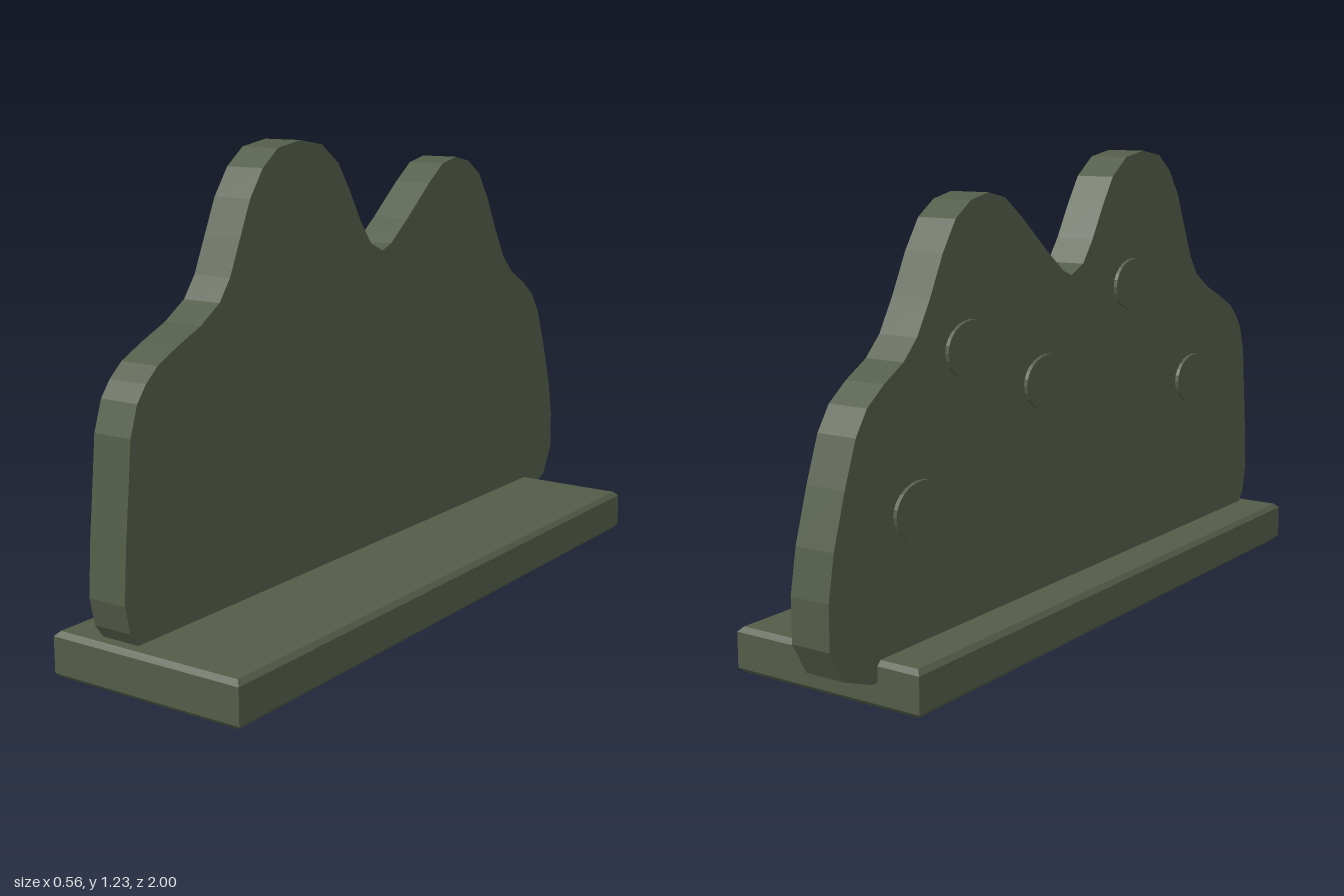
import * as THREE from 'three';

const green = new THREE.MeshStandardMaterial({ color: 0x535c48, flatShading: true });
green.name = 'olive green';

// Extrudes a shape drawn as (-z, y) along x, starting at x = x0
function sidePlate(name, shape, x0, depth, curveSegments) {
  const geo = new THREE.ExtrudeGeometry(shape, { depth, bevelEnabled: false, curveSegments });
  geo.rotateY(Math.PI / 2).translate(x0, 0, 0);
  const mesh = new THREE.Mesh(geo, green);
  mesh.name = name;
  return mesh;
}

// Rectangular slab with every edge chamfered
function chamferedSlab(name, x0, x1, height, z0, z1, c) {
  const w = (x1 - x0) / 2 - c, d = (z1 - z0) / 2 - c;
  const shape = new THREE.Shape([
    [-w, -d], [w, -d], [w, d], [-w, d],
  ].map(([x, y]) => new THREE.Vector2(x, y)));
  const geo = new THREE.ExtrudeGeometry(shape, {
    depth: height - 2 * c, bevelThickness: c, bevelSize: c, bevelSegments: 1,
  });
  geo.rotateX(-Math.PI / 2).translate((x0 + x1) / 2, c, (z0 + z1) / 2);
  const mesh = new THREE.Mesh(geo, green);
  mesh.name = name;
  return mesh;
}

export function createModel() {
  const model = new THREE.Group();
  model.name = 'bushPanel';

  // Base plank
  model.add(chamferedSlab('base', -0.28, 0.275, 0.115, -0.84, 1.0, 0.012));

  // Two-humped upright panel, outline as [z, y] from lower front to lower back
  const front = [
    [0.96, 0.115], [0.985, 0.15], [1.0, 0.22], [0.99, 0.36], [0.975, 0.5], [0.965, 0.6],
    [0.94, 0.675], [0.91, 0.715], [0.87, 0.75], [0.8, 0.785], [0.72, 0.82], [0.65, 0.865],
    [0.61, 0.92], [0.57, 1.01], [0.53, 1.1], [0.48, 1.17], [0.42, 1.215], [0.33, 1.23],
    [0.24, 1.215], [0.17, 1.165], [0.12, 1.09], [0.07, 1.005], [0.025, 0.945], [-0.03, 0.92],
  ];
  const back = [
    [-0.03, 0.92], [-0.07, 0.935], [-0.15, 0.995], [-0.26, 1.085], [-0.33, 1.135], [-0.4, 1.15],
    [-0.47, 1.135], [-0.53, 1.095], [-0.58, 1.02], [-0.63, 0.92], [-0.68, 0.835],
    [-0.73, 0.785], [-0.8, 0.745], [-0.86, 0.7], [-0.9, 0.64], [-0.94, 0.53],
    [-0.98, 0.4], [-1.0, 0.29], [-1.0, 0.18], [-0.955, 0.1], [-0.86, 0.065], [0.91, 0.06],
  ];
  const outline = [...front, ...back.slice(1)].map(([z, y]) => new THREE.Vector2(-z, y));
  model.add(sidePlate('panel', new THREE.Shape(outline), -0.16, 0.11, 1));

  // Raised oval spots on the left-hand face, as [z, y]
  const spots = [[-0.68, 0.435], [-0.48, 0.785], [-0.155, 0.66], [0.275, 0.87], [0.625, 0.56]];
  for (const [z, y] of spots) {
    const oval = new THREE.Shape().absellipse(-z, y, 0.095, 0.07, 0, Math.PI * 2);
    model.add(sidePlate('spot', oval, -0.17, 0.015, 12));
  }
  return model;
}
